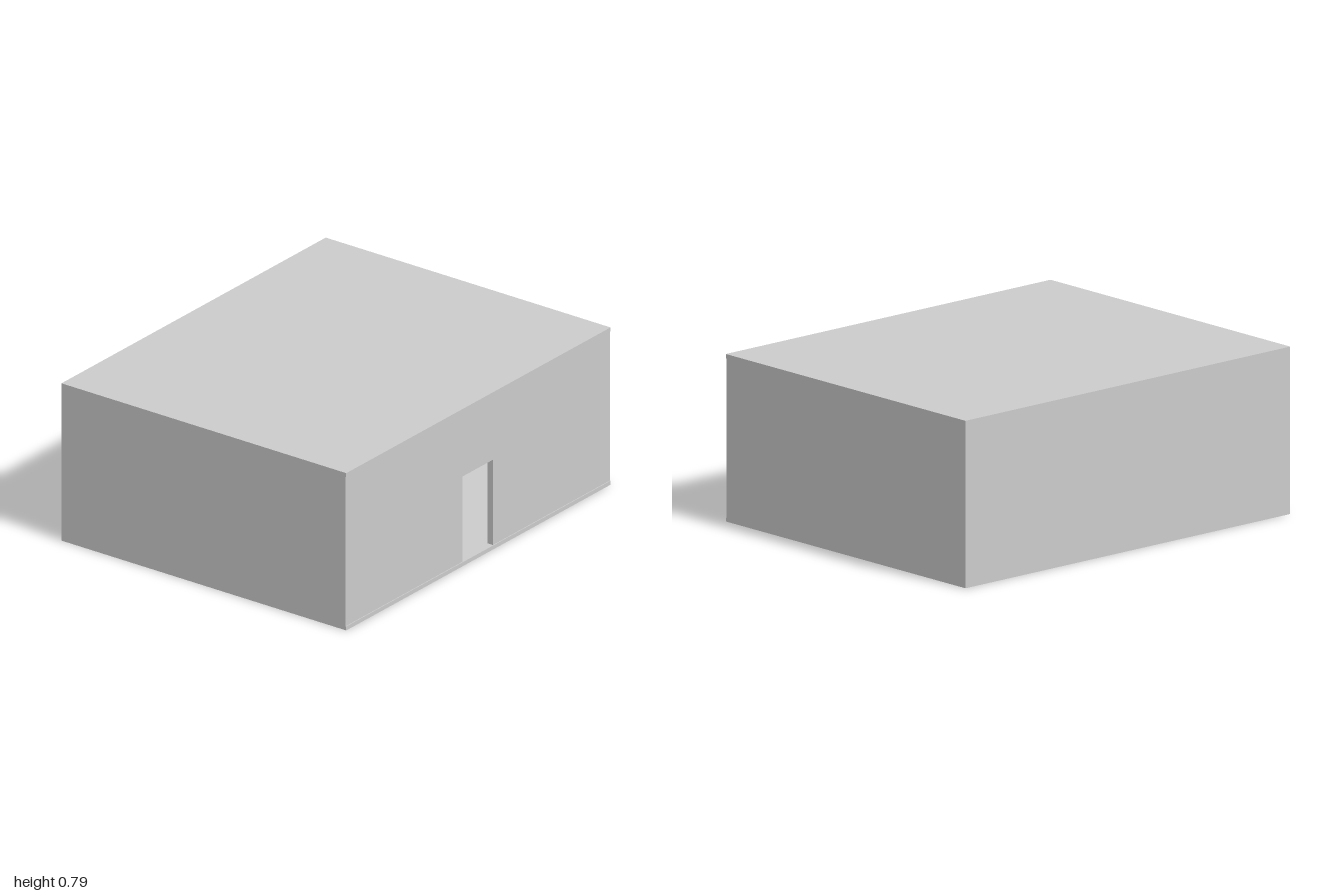
import * as THREE from 'three';

const W = 1.63, H = 0.79, D = 2; // outer size
const T = 0.02;                  // slab and wall thickness
const DOOR_WALL = 0.03, RECESS = 0.004;

export function createModel() {
  const group = new THREE.Group();
  const material = new THREE.MeshStandardMaterial({ color: 0xcccccc, flatShading: true });

  const add = (name, geometry, x, y, z) => {
    const mesh = new THREE.Mesh(geometry, material);
    mesh.name = name;
    mesh.position.set(x, y, z);
    group.add(mesh);
    return mesh;
  };
  const box = (name, w, h, d, x, y, z) => add(name, new THREE.BoxGeometry(w, h, d), x, y, z);

  // Floor and roof slabs
  box('floor', W, T, D, 0, T / 2, 0);
  box('roof', W, T, D, 0, H - T / 2, 0);

  // Plain walls between the slabs
  const wallH = H - 2 * T;
  const endW = W - RECESS;
  for (const [name, side] of [['frontWall', 1], ['backWall', -1]]) {
    box(name, endW, wallH, T, -RECESS / 2, H / 2, side * (D - T) / 2);
  }
  box('leftSideWall', T, wallH, D - 2 * T, -(W - T) / 2, H / 2, 0);

  // Door wall: outline with a doorway open down to the floor, set back slightly
  const half = D / 2 - T, doorHalf = 0.115, doorTop = 0.448;
  const outline = new THREE.Shape([
    [-half, T], [-doorHalf, T], [-doorHalf, doorTop], [doorHalf, doorTop],
    [doorHalf, T], [half, T], [half, H - T], [-half, H - T],
  ].map(([x, y]) => new THREE.Vector2(x, y)));
  const doorWall = add('doorWall',
    new THREE.ExtrudeGeometry(outline, { depth: DOOR_WALL, bevelEnabled: false }),
    W / 2 - RECESS - DOOR_WALL, 0, 0);
  doorWall.rotation.y = Math.PI / 2;

  return group;
}
